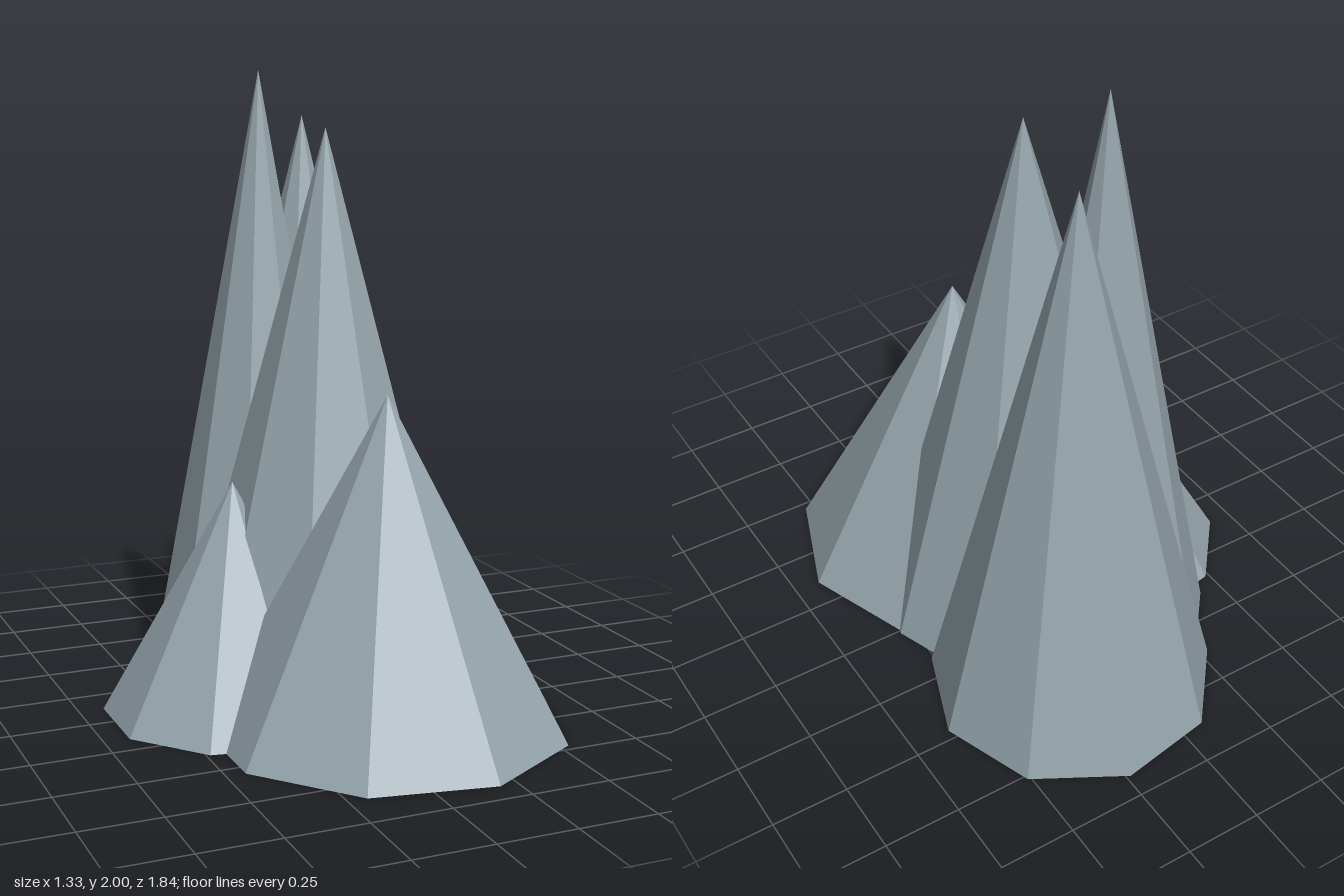
import * as THREE from 'three';

// Cluster of nine-sided rock spires: name, centre x, centre z, radius, height
const SPIRES = [
  ['frontSpire', 0.095, 0.355, 0.57, 1.04],
  ['backSpire', 0.155, -0.465, 0.465, 1.85],
  ['tallestSpire', -0.075, -0.27, 0.37, 2.0],
  ['middleSpire', 0.047, -0.01, 0.495, 1.825],
  ['smallSideSpire', -0.28, 0.02, 0.415, 0.735],
];

export function createModel() {
  const group = new THREE.Group();
  group.name = 'rockSpires';
  const rock = new THREE.MeshStandardMaterial({ color: 0x95a5ac, flatShading: true });
  rock.name = 'blueGreyRock';

  for (const [name, x, z, radius, height] of SPIRES) {
    const cone = new THREE.ConeGeometry(radius, height, 9);
    cone.rotateY(Math.PI / 2); // one corner points to +x
    cone.translate(0, height / 2, 0);
    const spire = new THREE.Mesh(cone, rock);
    spire.name = name;
    spire.position.set(x, 0, z);
    group.add(spire);
  }
  return group;
}
